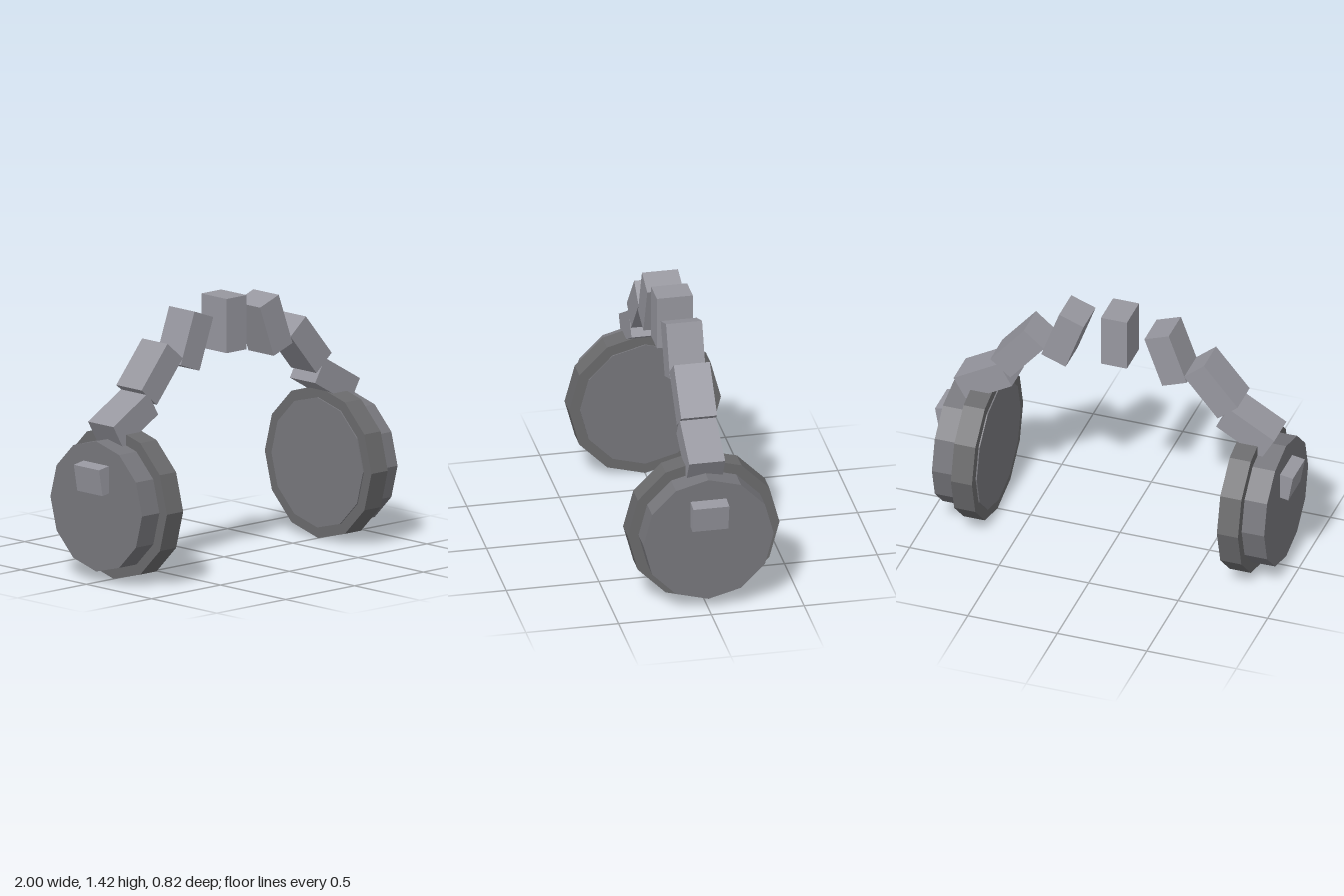
import * as THREE from 'three';

export function createModel() {
  const model = new THREE.Group();
  model.name = 'headphones';
  const paint = (color) => new THREE.MeshStandardMaterial({ color, flatShading: true });
  const bandGrey = paint(0x97979f);
  const cupGrey = paint(0x77777c);
  const cushionGrey = paint(0x6a6a6c);

  const add = (name, geometry, material, x, y, tilt = 0) => {
    const mesh = new THREE.Mesh(geometry, material);
    mesh.name = name;
    mesh.position.set(x, y, 0);
    mesh.rotation.z = tilt;
    model.add(mesh);
  };

  // Headband: identical blocks, each turned 20 degrees further than the last
  const block = new THREE.BoxGeometry(0.145, 0.292, 0.194);
  const arc = [[0.288, 1.222], [0.541, 1.08], [0.733, 0.858], [0.843, 0.584]];
  add('headbandBlock', block, bandGrey, 0, 1.271);

  // Twelve-sided discs lying along x, with a corner at top and bottom
  const disc = (radius, width) =>
    new THREE.CylinderGeometry(radius, radius, width, 12).rotateZ(Math.PI / 2);
  const cup = disc(0.351, 0.251);
  const cushion = disc(0.409, 0.118);

  for (const side of [1, -1]) {
    const label = side > 0 ? 'left' : 'right';
    arc.forEach(([x, y], i) =>
      add(`${label}HeadbandBlock`, block, bandGrey, side * x, y, side * THREE.MathUtils.degToRad(20 * (i + 1))));
    // Ear cup and the wider cushion ring near its inner face
    add(`${label}EarCup`, cup, cupGrey, side * 0.8025, 0.41);
    add(`${label}EarCushion`, cushion, cushionGrey, side * 0.743, 0.41);
  }
  return model;
}
